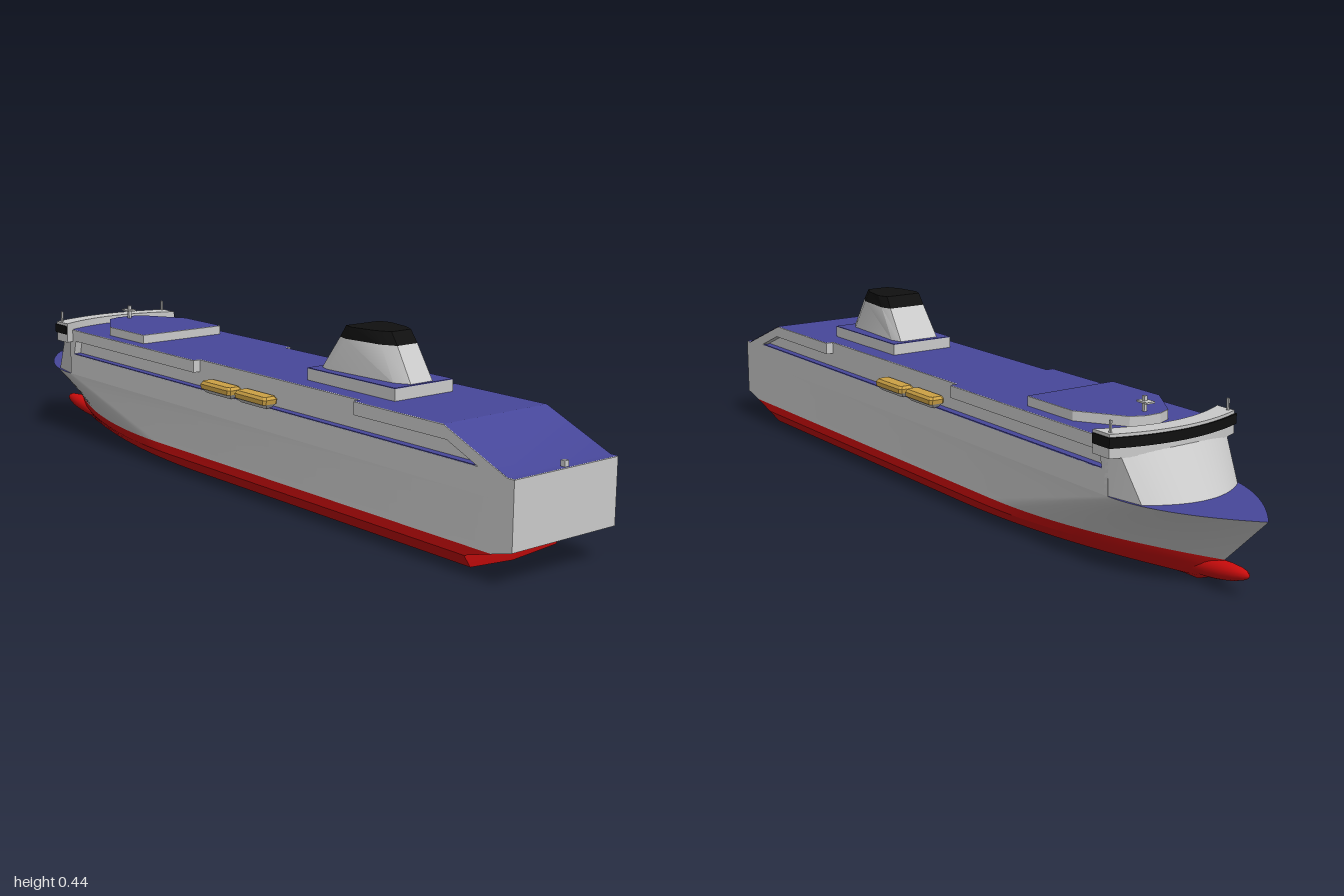
import * as THREE from 'three';
import { toCreasedNormals } from 'three/addons/utils/BufferGeometryUtils.js';

const mat = (name, color, side = THREE.FrontSide) => {
  const m = new THREE.MeshStandardMaterial({ color, side });
  m.name = name;
  return m;
};

// Surface through rows of points; flip reverses the facing
function loft(rows, flip = false) {
  const n = rows[0].length, idx = [];
  for (let j = 0; j < rows.length - 1; j++)
    for (let i = 0; i < n - 1; i++) {
      const a = j * n + i, b = a + 1, c = b + n, d = a + n;
      idx.push(...(flip ? [a, c, b, a, d, c] : [a, b, c, a, c, d]));
    }
  const g = new THREE.BufferGeometry();
  g.setAttribute('position', new THREE.Float32BufferAttribute(rows.flat(2), 3));
  g.setIndex(idx);
  return toCreasedNormals(g, 0.5);
}
const mirror = p => [p[0], p[1], -p[2]];
const shape = pts => new THREE.Shape(pts.map(p => new THREE.Vector2(p[0], p[1])));

// Flat plan (x, z) at height y, and plan raised to a solid
const plan = (pts, y) => new THREE.ShapeGeometry(shape(pts)).rotateX(-Math.PI / 2).translate(0, y, 0);
const solid = (pts, y, h) =>
  new THREE.ExtrudeGeometry(shape(pts), { depth: h, bevelEnabled: false }).rotateX(-Math.PI / 2).translate(0, y, 0);

// Side profile (x, y) extruded between two z values
const slab = (pts, z0, z1) =>
  new THREE.ExtrudeGeometry(shape(pts), { depth: z1 - z0, bevelEnabled: false }).translate(0, 0, z0);

// Arc across the ship, bowed toward the bow
function arc(x, sweep, half, steps = 16) {
  const pts = [];
  for (let i = 0; i <= steps; i++) {
    const t = -1 + 2 * i / steps;
    pts.push([x + sweep * t * t, half * t]);
  }
  return pts;
}

// One hull line: curved bow, parallel middle, stern end
function hullRow(y, bow, full, stern, w) {
  const row = [];
  for (let i = 0; i <= 18; i++) {
    const u = (i / 18) ** 1.3;
    row.push([bow + (full - bow) * u, y, w * (1 - (1 - u) ** 2)]);
  }
  row.push([stern, y, w]);
  return row;
}

export function createModel() {
  const ship = new THREE.Group();
  ship.name = 'ship';
  const grey = mat('hullGrey', 0xcbcbcb, THREE.DoubleSide);
  const blue = mat('deckBlue', 0x47479a, THREE.DoubleSide);
  const red = mat('bottomRed', 0xcc0c0c, THREE.DoubleSide);
  const black = mat('black', 0x101010);
  const gold = mat('boatGold', 0xcda245);
  const add = (name, geo, m) => {
    const mesh = new THREE.Mesh(geo, m);
    mesh.name = name;
    ship.add(mesh);
    return mesh;
  };
  const box = (name, x0, x1, y0, y1, z0, z1, m) =>
    add(name, new THREE.BoxGeometry(x1 - x0, y1 - y0, z1 - z0)
      .translate((x0 + x1) / 2, (y0 + y1) / 2, (z0 + z1) / 2), m);

  // Hull sides and stern
  const upper = [0.065, 0.08, 0.11, 0.145, 0.18].map(y => {
    const v = (y - 0.065) / 0.115;
    return hullRow(y, -0.88 - 0.12 * v, -0.25 - 0.43 * v, y < 0.07 ? 0.945 : 1, 0.155);
  });
  const lower = [
    hullRow(0, -0.8, -0.1, 0.86, 0),
    hullRow(0.011, -0.83, -0.1, 0.863, 0.13),
    hullRow(0.043, -0.87, -0.2, 0.868, 0.155),
    upper[0],
  ];
  for (const [name, rows, m] of [['upperHull', upper, grey], ['bottomHull', lower, red]]) {
    add(name + 'Left', loft(rows), m);
    add(name + 'Right', loft(rows.map(r => r.map(mirror)), true), m);
    add(name + 'Stern', loft(rows.map(r => [r[r.length - 1], mirror(r[r.length - 1])])), m);
  }

  // Bulbous bow
  const bulb = new THREE.SphereGeometry(1, 16, 10).scale(0.11, 0.022, 0.022);
  add('bulbousBow', bulb.rotateZ(-0.12).translate(-0.845, 0.038, 0), red);

  // Foredeck
  const edge = upper[4].slice(0, 19).map(p => [p[0], p[2]]);
  add('foredeck', plan([...edge, ...edge.slice(1).reverse().map(p => [p[0], -p[1]])], 0.18), blue);

  // Superstructure core and raked, curved front
  const aft = [[1, 0.18], [1, 0.23], [0.98, 0.23], [0.8, 0.305]];
  add('superstructureCore', slab([[-0.68, 0.18], ...aft, [-0.68, 0.305]], -0.135, 0.135), grey);
  const frontRow = (y, pts) =>
    [[-0.67, -0.155], ...pts, [-0.67, 0.155]].map(p => [p[0], y, p[1]]);
  add('superstructureFront', loft([
    frontRow(0.18, arc(-0.82, 0.05, 0.137)),
    frontRow(0.305, arc(-0.73, 0.03, 0.155)),
  ]), grey);

  // Outer sides with the long promenade opening and the boat gap
  const side = [[-0.68, 0.18], ...aft, [0.52, 0.305], [0.52, 0.275], [0.81, 0.275], [0.9, 0.237],
    [-0.66, 0.237], [-0.65, 0.275], [-0.085, 0.275], [-0.085, 0.305], [-0.68, 0.305]];
  for (const s of [1, -1]) {
    const z0 = s > 0 ? 0.135 : -0.155;
    add('superstructureSide', slab(side, z0, z0 + 0.02), grey);
    box('promenadeDeck', -0.66, 0.89, 0.236, 0.239, z0, z0 + 0.0195, blue);
  }

  // Top deck, sloped aft deck and stern deck
  const halfDeck = [[0.8, 0.155], [0.52, 0.155], [0.52, 0.135], [-0.085, 0.135], [-0.085, 0.155]];
  add('topDeck', plan([
    ...halfDeck.slice().reverse().map(p => [p[0], p[1]]),
    ...halfDeck.map(p => [p[0], -p[1]]),
    ...arc(-0.73, 0.03, 0.155),
  ], 0.3065), blue);
  add('aftDeck', loft([[0.8, 0.3065], [0.98, 0.2315], [1, 0.2315]]
    .map(([x, y]) => [[x, y, -0.155], [x, y, 0.155]]), true), blue);
  box('sternLightStand', 0.985, 0.997, 0.232, 0.245, -0.006, 0.006, grey);

  // Bridge with window band
  const bridgePlan = (front, back, half) =>
    [...arc(front, 0.035, half), ...arc(back, 0.045, half).reverse()];
  add('bridge', solid(bridgePlan(-0.745, -0.7, 0.178), 0.273, 0.053), grey);
  add('bridgeWindows', solid(bridgePlan(-0.749, -0.702, 0.181), 0.296, 0.023), black);

  // Forward deckhouse and funnel house, each with a blue roof
  const house = [[-0.645, -0.02], [-0.63, -0.055], [-0.52, -0.125], [-0.355, -0.125],
    [-0.355, 0.125], [-0.52, 0.125], [-0.63, 0.055], [-0.645, 0.02]];
  add('forwardDeckhouse', solid(house, 0.305, 0.024), grey);
  add('forwardDeckhouseRoof', plan(house, 0.33), blue);
  box('funnelHouse', 0.28, 0.58, 0.305, 0.334, -0.088, 0.088, grey);
  box('funnelHouseRoof', 0.28, 0.58, 0.334, 0.336, -0.088, 0.088, blue);

  // Tapered funnel: broad forward, narrow aft
  const ring = (y, x0, x1, w) => [[x0, -w * 0.85], [x0 + 0.03, -w], [x1 - 0.035, -w * 0.8], [x1, -w * 0.5],
    [x1, w * 0.5], [x1 - 0.035, w * 0.8], [x0 + 0.03, w], [x0, w * 0.85], [x0, -w * 0.85]]
    .map(p => [p[0], y, p[1]]);
  const capBase = ring(0.415, 0.353, 0.523, 0.061), capTop = ring(0.444, 0.372, 0.502, 0.059);
  add('funnel', loft([ring(0.335, 0.295, 0.572, 0.066), capBase], true), grey);
  add('funnelCap', loft([capBase, capTop], true), black);
  add('funnelTop', plan(capTop.slice(0, 8).map(p => [p[0], p[2]]), 0.444), black);

  // Lifeboats: tapered keel below a gold canopy
  const boatRing = (y, hx, hz) =>
    [[-hx, -hz * 0.7], [-hx * 0.9, -hz], [hx * 0.9, -hz], [hx, -hz * 0.7],
      [hx, hz * 0.7], [hx * 0.9, hz], [-hx * 0.9, hz], [-hx, hz * 0.7], [-hx, -hz * 0.7]]
      .map(p => [p[0], y, p[1]]);
  const hullGeo = loft([boatRing(0.237, 0.05, 0.009), boatRing(0.248, 0.059, 0.02)], true);
  const canopyGeo = loft([boatRing(0.248, 0.059, 0.021), boatRing(0.259, 0.061, 0.021),
    boatRing(0.266, 0.056, 0.016), boatRing(0.266, 0, 0)], true);
  for (const s of [1, -1])
    for (const x of [0.03, 0.17]) {
      add('lifeboatHull', hullGeo, grey).position.set(x, 0, 0.156 * s);
      add('lifeboatCanopy', canopyGeo, gold).position.set(x, 0, 0.156 * s);
    }

  // Radar mast and wing lamps
  box('mast', -0.618, -0.61, 0.33, 0.365, -0.004, 0.004, grey);
  box('radarBar', -0.635, -0.6, 0.35, 0.354, -0.012, 0.012, grey);
  for (const s of [1, -1])
    box('wingLamp', -0.703, -0.697, 0.326, 0.353, 0.167 * s - 0.002, 0.167 * s + 0.002, grey);
  return ship;
}
